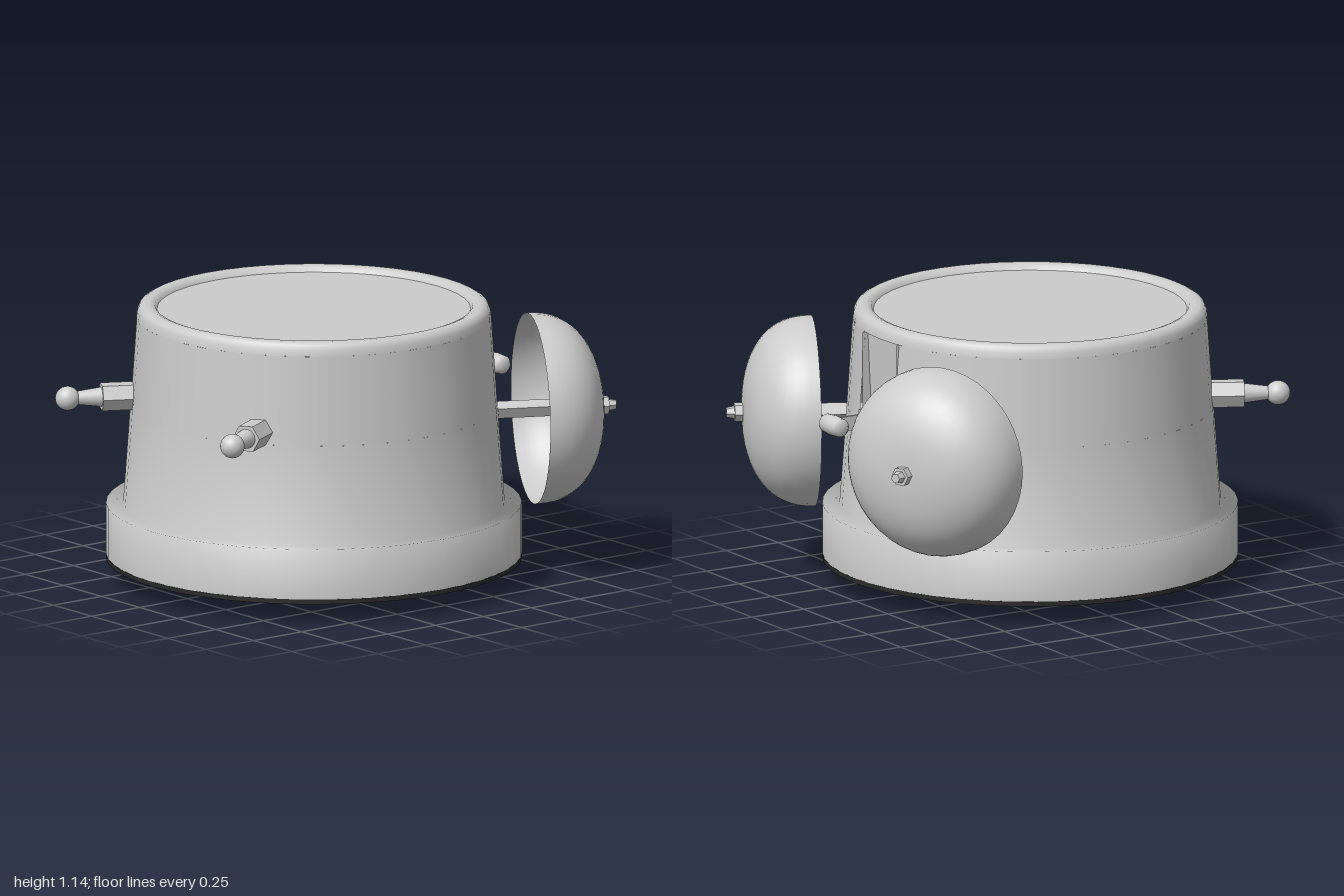
import * as THREE from 'three';

const grey = new THREE.MeshStandardMaterial({ color: 0xcccccc });
const open = new THREE.MeshStandardMaterial({ color: 0xcccccc, side: THREE.DoubleSide });
const dark = new THREE.MeshStandardMaterial({ color: 0x2a2a2a });
const hexMat = new THREE.MeshStandardMaterial({ color: 0xcccccc, flatShading: true });

const UP = new THREE.Vector3(0, 1, 0);
const v2 = (list) => list.map(([x, y]) => new THREE.Vector2(x, y));

function add(parent, name, geometry, material, x = 0, y = 0, z = 0) {
  const mesh = new THREE.Mesh(geometry, material);
  mesh.name = name;
  mesh.position.set(x, y, z);
  parent.add(mesh);
  return mesh;
}

// Group whose +y axis points along the horizontal direction (dx, dz)
function aimed(parent, name, x, y, z, dx, dz) {
  const g = new THREE.Group();
  g.name = name;
  g.position.set(x, y, z);
  g.quaternion.setFromUnitVectors(UP, new THREE.Vector3(dx, 0, dz).normalize());
  parent.add(g);
  return g;
}

function addCase(root) {
  const body = new THREE.Group();
  body.name = 'case';
  body.position.z = 0.09;
  root.add(body);
  const gap = 0.18;

  // Wide base with its shelf, then the tapering wall
  add(body, 'base', new THREE.LatheGeometry(v2([[0.85, 0.1], [0.85, 0.31], [0.78, 0.31], [0.75, 0.72]]), 48), open);
  add(body, 'wall', new THREE.LatheGeometry(v2([[0.75, 0.72], [0.725, 1.09]]), 48, Math.PI + gap, Math.PI * 2 - gap * 2), open);

  // Rounded rim around the flat top
  add(body, 'rim', new THREE.LatheGeometry(v2([
    [0.725, 1.09], [0.722, 1.115], [0.713, 1.135], [0.695, 1.145], [0.67, 1.145], [0.65, 1.138], [0.64, 1.12],
  ]), 48), open);
  const top = add(body, 'topPlate', new THREE.CircleGeometry(0.642, 48), grey, 0, 1.122, 0);
  top.rotation.x = -Math.PI / 2;

  // Recess in the back wall where the hammer comes out
  const panel = add(body, 'recessPanel', new THREE.PlaneGeometry(0.27, 0.42), open, 0, 0.9, -0.69);
  panel.rotation.x = -0.05;
  for (const s of [1, -1]) {
    const cheek = add(body, 'recessSide', new THREE.PlaneGeometry(0.05, 0.38), open, s * 0.131, 0.9, -0.7);
    cheek.rotation.y = Math.PI / 2;
  }
  add(body, 'recessFloor', new THREE.BoxGeometry(0.26, 0.01, 0.08), grey, 0, 0.715, -0.69);

  // Dark back cover with a wedge-shaped slot
  const cover = new THREE.Shape().absarc(0, 0, 0.85, 0, Math.PI * 2);
  cover.holes.push(new THREE.Path(v2([[0.68, 0.17], [-0.7, 0.02], [-0.7, -0.1], [0.26, -0.02], [0.68, 0.12]])));
  const coverGeo = new THREE.ExtrudeGeometry(cover, { depth: 0.02, bevelEnabled: false, curveSegments: 48 });
  coverGeo.rotateX(Math.PI / 2);
  add(body, 'backCover', coverGeo, dark, 0, 0.1, 0);
  add(body, 'slotFloor', new THREE.CylinderGeometry(0.84, 0.84, 0.02, 48), dark, 0, 0.111, 0);
  add(body, 'batteryDoor', new THREE.BoxGeometry(1.04, 0.02, 0.28), dark, -0.02, 0.083, 0.325);
  for (const x of [-0.1, -0.03, 0.04]) {
    add(body, 'doorTab', new THREE.BoxGeometry(0.03, 0.015, 0.1), dark, x, 0.082, 0.52);
  }
}

// Setting knobs with hollow ends, and a round button
function addControls(root) {
  const profile = v2([[0, 0.03], [0.035, 0.03], [0.035, 0], [0.065, 0], [0.065, 0.055], [0.058, 0.055], [0.058, 0.1]]);
  const knobGeo = new THREE.LatheGeometry(profile, 20);
  const knobMat = dark.clone();
  knobMat.side = THREE.DoubleSide;
  knobMat.flatShading = true;
  add(root, 'settingKnob', knobGeo, knobMat, -0.145, 0, 0.045);
  add(root, 'settingKnob', knobGeo, knobMat, 0.33, 0, 0.085);
  const button = add(root, 'roundButton', new THREE.SphereGeometry(0.07, 24, 12), grey, -0.57, 0.082, -0.21);
  button.scale.y = 0.35;
}

// Foot: hexagonal nut, tapered pin and ball
function addFoot(root, s) {
  const foot = aimed(root, 'foot', s * 0.405, 0.77, 0.69, s * 0.47, 0.88);
  add(foot, 'footNut', new THREE.CylinderGeometry(0.06, 0.06, 0.15, 6), hexMat, 0, 0.075, 0);
  add(foot, 'footPin', new THREE.CylinderGeometry(0.025, 0.043, 0.14, 20), grey, 0, 0.2, 0);
  add(foot, 'footBall', new THREE.SphereGeometry(0.05, 24, 16), grey, 0, 0.29, 0);
}

// Bell: open squarish dome on a bar, with a nut outside
function addBell(root, s) {
  const bell = aimed(root, 'bell', s * 0.495, 0.685, -0.648, s * 0.447, -0.894);
  const points = [];
  for (let i = 0; i <= 16; i++) {
    const a = (i / 16) * Math.PI / 2;
    points.push([0.392 * Math.cos(a) ** 0.85, 0.29 * Math.sin(a) ** 0.85]);
  }
  points[16][0] = 0;
  add(bell, 'bellDome', new THREE.LatheGeometry(v2(points), 40), open);
  add(bell, 'bellPost', new THREE.BoxGeometry(0.05, 0.5, 0.05), grey, 0, 0.03, 0);
  add(bell, 'bellNut', new THREE.CylinderGeometry(0.04, 0.04, 0.035, 6), hexMat, 0, 0.305, 0);
  add(bell, 'bellNutTip', new THREE.CylinderGeometry(0.02, 0.027, 0.035, 6), hexMat, 0, 0.338, 0);
}

// Hammer: thin arm with a barrel-shaped head between the bells
function addHammer(root) {
  const hammer = new THREE.Group();
  hammer.name = 'hammer';
  root.add(hammer);
  add(hammer, 'hammerArm', new THREE.BoxGeometry(0.012, 0.06, 0.27), grey, 0, 0.755, -0.71);
  add(hammer, 'hammerPlate', new THREE.BoxGeometry(0.25, 0.05, 0.012), grey, 0, 0.745, -0.652);
  const head = add(hammer, 'hammerHead', new THREE.LatheGeometry(v2([
    [0, -0.07], [0.025, -0.07], [0.038, -0.055], [0.042, 0], [0.038, 0.055], [0.025, 0.07], [0, 0.07],
  ]), 20), grey, 0, 0.755, -0.855);
  head.rotation.z = Math.PI / 2;
}

export function createModel() {
  const root = new THREE.Group();
  root.name = 'alarmClock';
  addCase(root);
  addControls(root);
  for (const s of [1, -1]) {
    addFoot(root, s);
    addBell(root, s);
  }
  addHammer(root);
  return root;
}
